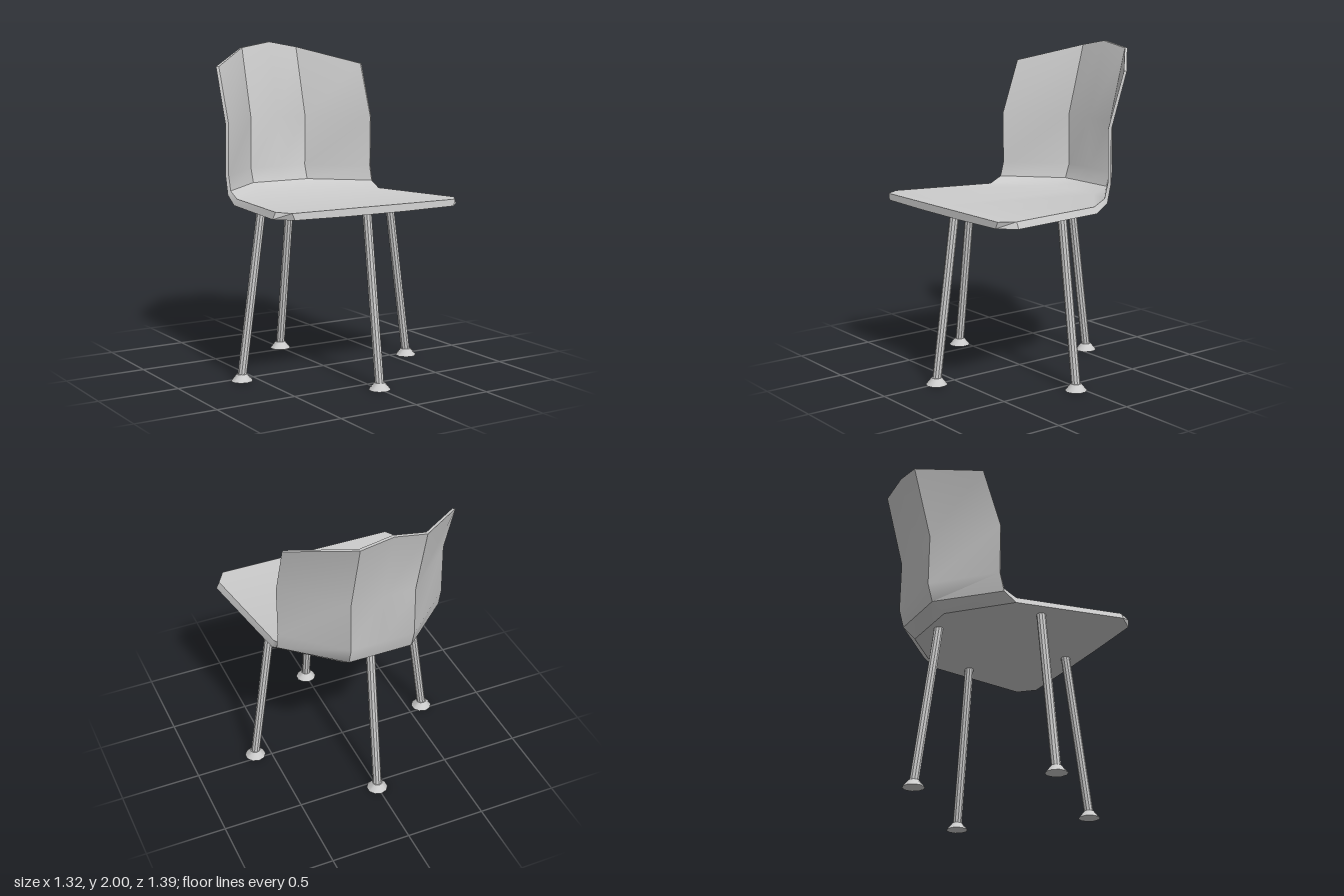
import * as THREE from 'three';
import { toCreasedNormals } from 'three/addons/utils/BufferGeometryUtils.js';

const grey = new THREE.MeshStandardMaterial({ color: 0xcccccc });
grey.name = 'pale grey';

// Rows run from the seat's front edge, back and up to the top of the backrest.
// Each row: side x, side y, side z, middle y, middle z, centre lift
const upperRows = [
  [0.565, 1.08, 0.59, 1.08, 0.59, 0],
  [0.62, 1.08, 0.5, 1.08, 0.5, 0],
  [0.515, 1.07, -0.16, 1.07, -0.43, 0],
  [0.515, 1.11, -0.24, 1.11, -0.53, 0],
  [0.515, 1.2, -0.264, 1.2, -0.56, 0],
  [0.515, 1.52, -0.26, 1.52, -0.555, 0],
  [0.515, 1.86, -0.38, 1.965, -0.67, 0.035],
];
const lowerRows = [
  [0.55, 1.04, 0.595, 1.035, 0.595, 0],
  [0.64, 1.04, 0.5, 1.03, 0.5, 0],
  [0.53, 1.03, -0.17, 1.03, -0.47, 0],
  [0.53, 1.085, -0.25, 1.09, -0.55, 0],
  [0.53, 1.2, -0.277, 1.2, -0.58, 0],
  [0.53, 1.52, -0.273, 1.52, -0.575, 0],
  [0.53, 1.86, -0.39, 1.965, -0.69, 0.035],
];

// Five points across a row
function rowPoints([sx, sy, sz, my, mz, lift]) {
  return [[-sx, sy, sz], [-0.2, my, mz], [0, my + lift, mz], [0.2, my, mz], [sx, sy, sz]];
}

// Seat and backrest as one folded shell: two skins joined by a rim
function makeShell() {
  const cols = 5, rows = upperRows.length, skin = cols * rows;
  const positions = [...upperRows, ...lowerRows].flatMap(rowPoints).flat();
  const index = [];
  const quad = (a, b, c, d) => index.push(a, b, c, a, c, d);

  for (let r = 0; r < rows - 1; r++) {
    for (let c = 0; c < cols - 1; c++) {
      const a = r * cols + c, b = a + 1, d = a + cols, e = d + 1;
      quad(a, b, e, d);
      quad(skin + d, skin + e, skin + b, skin + a);
    }
  }

  // Rim, following the outline counter-clockwise
  const outline = [];
  for (let c = 0; c < cols - 1; c++) outline.push(c);
  for (let r = 0; r < rows - 1; r++) outline.push(r * cols + cols - 1);
  for (let c = cols - 1; c > 0; c--) outline.push((rows - 1) * cols + c);
  for (let r = rows - 1; r > 0; r--) outline.push(r * cols);
  outline.forEach((a, i) => {
    const b = outline[(i + 1) % outline.length];
    quad(skin + a, skin + b, b, a);
  });

  const geometry = new THREE.BufferGeometry();
  geometry.setAttribute('position', new THREE.Float32BufferAttribute(positions, 3));
  geometry.setIndex(index);
  return toCreasedNormals(geometry, THREE.MathUtils.degToRad(35));
}

// Slanted tube with a flared foot
function makeLeg(name, top, bottom) {
  const leg = new THREE.Group();
  leg.name = name;
  const from = new THREE.Vector3(bottom[0], 0.02, bottom[1]);
  const to = new THREE.Vector3(top[0], 1.045, top[1]);
  const direction = to.clone().sub(from);

  const tubeShape = new THREE.CylinderGeometry(0.028, 0.028, direction.length(), 10);
  const tube = new THREE.Mesh(toCreasedNormals(tubeShape, 0.5), grey);
  tube.name = 'legTube';
  tube.position.copy(from).add(to).multiplyScalar(0.5);
  tube.quaternion.setFromUnitVectors(new THREE.Vector3(0, 1, 0), direction.normalize());

  const footShape = new THREE.CylinderGeometry(0.032, 0.066, 0.042, 10);
  const foot = new THREE.Mesh(toCreasedNormals(footShape, 0.7), grey);
  foot.name = 'foot';
  foot.position.set(bottom[0], 0.021, bottom[1]);

  leg.add(tube, foot);
  return leg;
}

export function createModel() {
  const chair = new THREE.Group();
  chair.name = 'chair';

  const shell = new THREE.Mesh(makeShell(), grey);
  shell.name = 'seatAndBackrest';
  chair.add(shell);

  // Legs stand in a cross: front, back and one each side
  chair.add(makeLeg('frontLeg', [0, 0.485], [0, 0.63]));
  chair.add(makeLeg('backLeg', [0, -0.405], [0, -0.545]));
  for (const side of [1, -1]) {
    chair.add(makeLeg(side > 0 ? 'leftLeg' : 'rightLeg', [side * 0.455, 0.04], [side * 0.598, 0.04]));
  }
  return chair;
}
